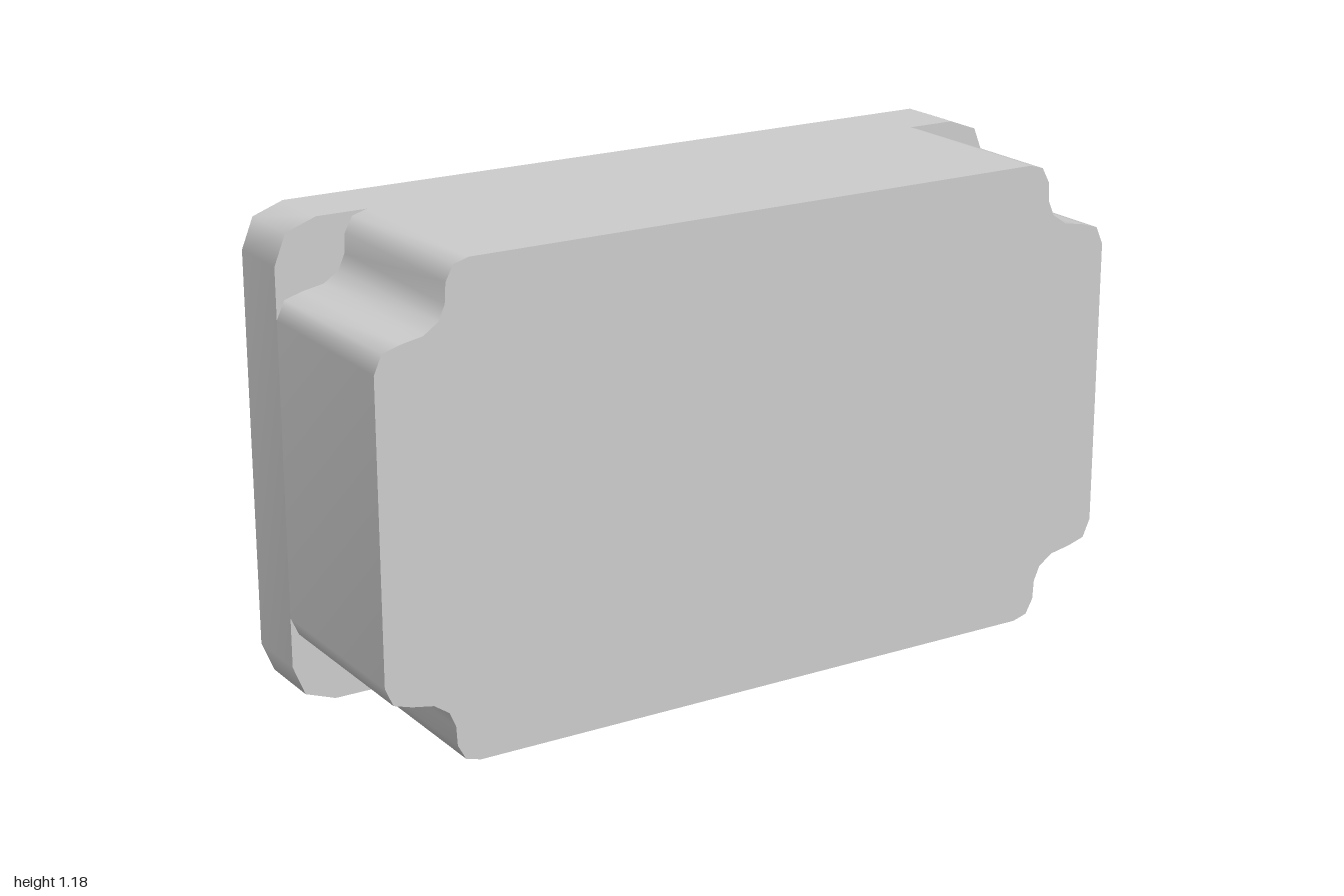
import * as THREE from 'three';

const CY = 0.59;                                // half height
const FRONT = 0.33, LEDGE = -0.155, BACK = -0.33;

// upper left corner profiles, relative to the centre of the tray
const RIM = [[1, 0.487], [0.97, 0.562], [0.893, 0.59]];
const NOTCH = [[1, 0.362], [0.98, 0.407], [0.934, 0.421], [0.88, 0.431], [0.842, 0.457],
  [0.826, 0.494], [0.823, 0.542], [0.803, 0.579], [0.765, 0.59]];
const QUADRANTS = [[1, 1], [-1, 1], [-1, -1], [1, -1]];

const mirror = (pts, sx, sy) => pts.map(([x, y]) => new THREE.Vector2(x * sx, CY + y * sy));

// full counter-clockwise outline from one corner profile
function outline(corner) {
  return QUADRANTS.flatMap(([sx, sy]) => {
    const pts = mirror(corner, sx, sy);
    return sx * sy > 0 ? pts : pts.reverse();
  });
}

// smooth open band that follows an outline from z0 to z1
function wallGeometry(pts, z0, z1) {
  const pos = [], index = [], n = pts.length;
  pts.forEach((p, i) => {
    pos.push(p.x, p.y, z0, p.x, p.y, z1);
    const a = 2 * i, b = 2 * ((i + 1) % n);
    index.push(a, b, a + 1, b, b + 1, a + 1);
  });
  const geo = new THREE.BufferGeometry();
  geo.setAttribute('position', new THREE.Float32BufferAttribute(pos, 3));
  geo.setIndex(index);
  geo.computeVertexNormals();
  return geo;
}

export function createModel() {
  const group = new THREE.Group();
  group.name = 'notchedTray';
  const material = new THREE.MeshStandardMaterial({ color: 0xcccccc, side: THREE.DoubleSide });
  const add = (name, geo, z = 0) => {
    const mesh = new THREE.Mesh(geo, material);
    mesh.name = name;
    mesh.position.z = z;
    group.add(mesh);
  };

  const body = outline(NOTCH);
  add('frontPanel', new THREE.ShapeGeometry(new THREE.Shape(body)), FRONT);
  add('bodyWall', wallGeometry(body, LEDGE, FRONT));
  add('rimWall', wallGeometry(outline(RIM), BACK, LEDGE));

  // flat ledges closing the step between body and rim at each corner
  QUADRANTS.forEach(([sx, sy]) => {
    const pts = [...mirror(NOTCH, sx, sy), ...mirror(RIM, sx, sy).reverse()];
    const name = (sy > 0 ? 'upper' : 'lower') + (sx > 0 ? 'Left' : 'Right') + 'Ledge';
    add(name, new THREE.ShapeGeometry(new THREE.Shape(pts)), LEDGE);
  });
  return group;
}
